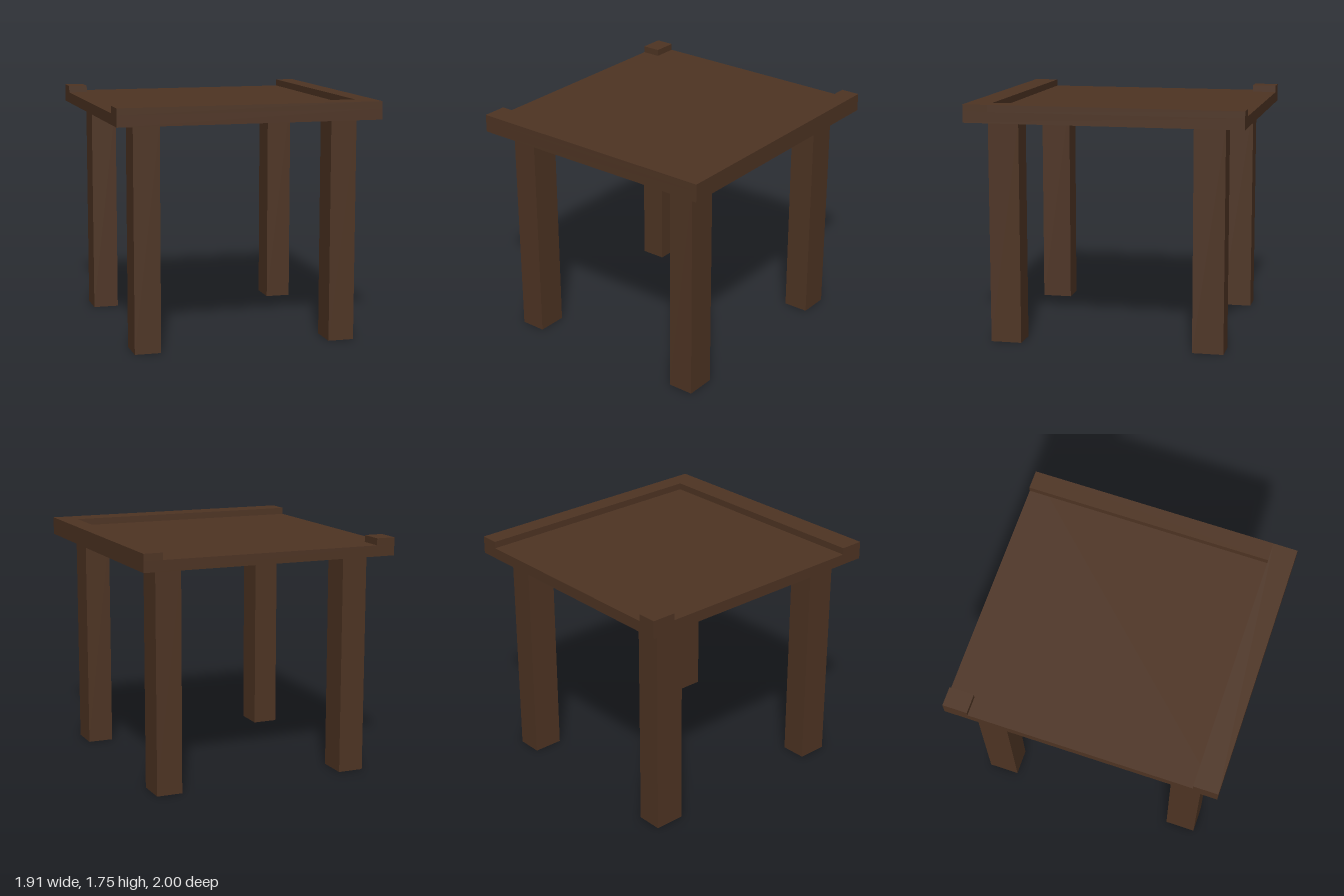
import * as THREE from 'three';

export function createModel() {
  const group = new THREE.Group();
  const wood = new THREE.MeshStandardMaterial({ color: 0x4e3423 });
  wood.name = 'dark wood';

  // Box given by its extents along each axis
  function addBox(name, [x0, x1], [y0, y1], [z0, z1]) {
    const mesh = new THREE.Mesh(new THREE.BoxGeometry(x1 - x0, y1 - y0, z1 - z0), wood);
    mesh.position.set((x0 + x1) / 2, (y0 + y1) / 2, (z0 + z1) / 2);
    mesh.name = name;
    group.add(mesh);
  }

  const halfX = 0.955, halfZ = 1;
  const underside = 1.62, surface = 1.7, top = 1.75;
  const rimX = 0.815, rimZ = 0.82;

  // Table top
  addBox('tableTop', [-halfX, halfX], [underside, surface], [-halfZ, halfZ]);

  // Raised rim along the front and one side, and a block on the opposite corner
  addBox('frontRim', [-halfX, halfX], [surface, top], [rimZ, halfZ]);
  addBox('sideRim', [rimX, halfX], [surface, top], [-halfZ, rimZ]);
  addBox('cornerBlock', [-halfX, -rimX], [surface, top], [-halfZ, -rimZ]);

  // Four legs
  for (const [side, x] of [['Right', [-0.815, -0.625]], ['Left', [0.625, 0.815]]]) {
    addBox('front' + side + 'Leg', x, [0, underside], [0.635, 0.86]);
    addBox('back' + side + 'Leg', x, [0, underside], [-0.85, -0.625]);
  }

  return group;
}
